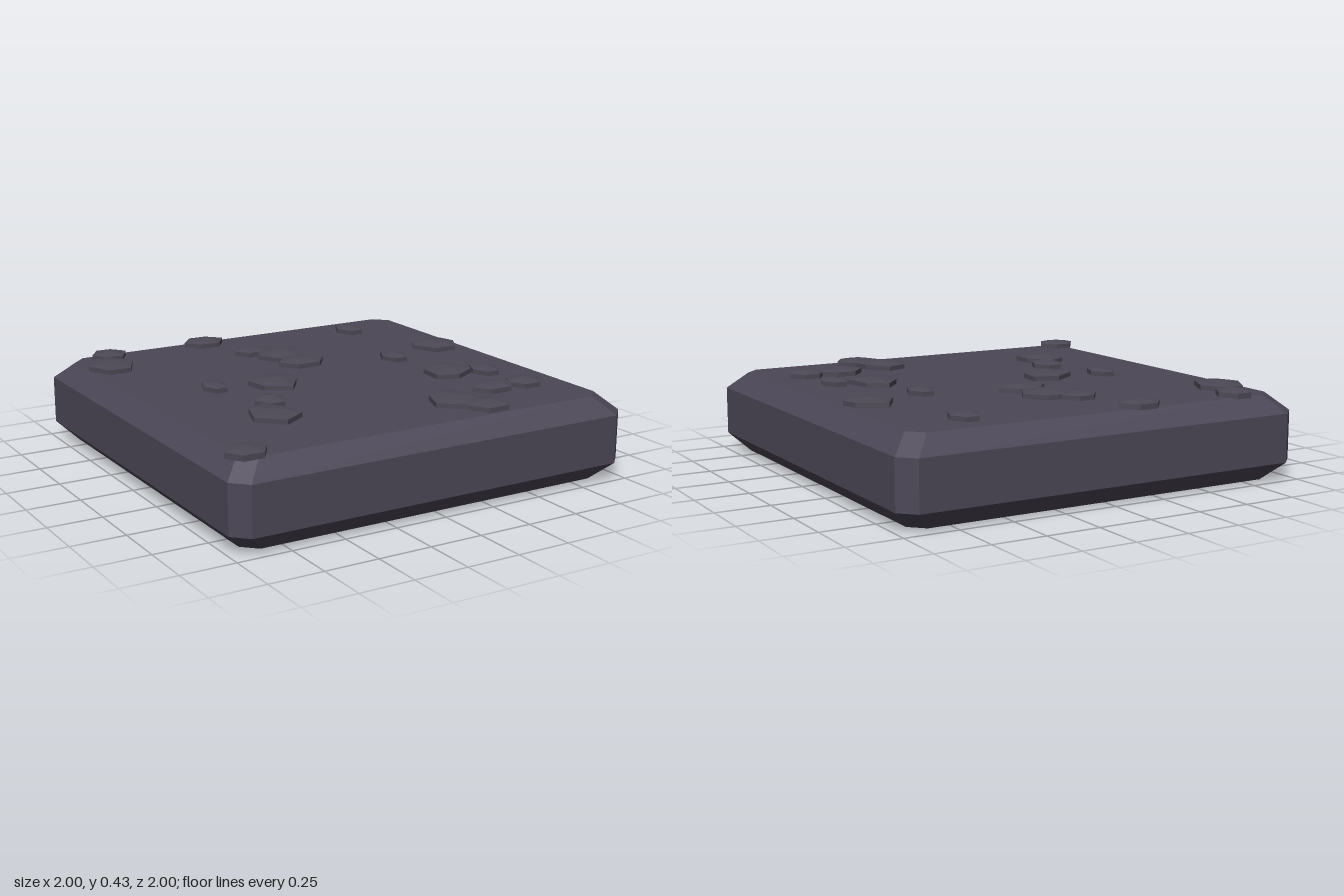
import * as THREE from 'three';

// Faceted solid through rings of [x, z] points, listed bottom to top.
// Rings run clockwise seen from above; scale 0 closes a ring to a point.
function loft(levels) {
  const pos = [];
  const ring = ({ y, scale = 1, points }) => points.map(([x, z]) => [x * scale, y, z * scale]);
  for (let k = 0; k < levels.length - 1; k++) {
    const lo = ring(levels[k]), hi = ring(levels[k + 1]);
    lo.forEach((a, i) => {
      const j = (i + 1) % lo.length;
      if (levels[k].scale !== 0) pos.push(...lo[j], ...a, ...hi[i]);
      if (levels[k + 1].scale !== 0) pos.push(...lo[j], ...hi[i], ...hi[j]);
    });
  }
  const geo = new THREE.BufferGeometry();
  geo.setAttribute('position', new THREE.Float32BufferAttribute(pos, 3));
  geo.computeVertexNormals();
  return geo;
}

// Square of half width h with its corners cut off by c
function cutSquare(h, c) {
  const k = h - c;
  return [[-k, -h], [k, -h], [h, -k], [h, k], [k, h], [-k, h], [-h, k], [-h, -k]];
}

// Stone outlines inside a -1..1 box
const OUTLINES = {
  hex: [[-0.4, -1], [0.4, -0.95], [1, -0.1], [0.45, 0.97], [-0.5, 0.95], [-1, 0]],
  kite: [[0.28, -1], [0.95, -0.2], [1, 0.5], [0, 1], [-1, 0.28], [-0.58, -0.68]],
  tall: [[-0.1, -1], [0.65, -0.5], [1, 0.5], [-0.1, 1], [-1, 0.7], [-0.9, -0.25]],
  lean: [[0, -1], [1, -0.75], [0.9, 0.15], [0.2, 1], [-0.8, 0.5], [-1, -0.4]],
  broad: [[-0.3, -1], [0.8, -0.45], [1, 0.2], [0.5, 1], [-0.5, 0.95], [-1, 0]],
};

// Stones by outline: centre x, centre z, half width, half depth
const STONES = {
  hex: [
    [-0.73, -0.86, 0.09, 0.08], [-0.805, -0.66, 0.115, 0.12],
    [-0.21, -0.86, 0.11, 0.08], [0.585, -0.735, 0.07, 0.085],
    [-0.09, -0.57, 0.09, 0.07], [0.005, -0.445, 0.125, 0.115],
    [0.025, -0.265, 0.125, 0.085], [0.465, -0.12, 0.065, 0.08],
    [-0.55, -0.065, 0.06, 0.08], [-0.445, 0.265, 0.075, 0.085],
    [0.695, 0.315, 0.065, 0.085], [0.545, 0.58, 0.115, 0.08],
    [0.72, 0.585, 0.09, 0.08], [0.35, 0.81, 0.11, 0.09],
    [-0.88, 0.86, 0.1, 0.08],
  ],
  kite: [[-0.54, 0.46, 0.11, 0.14], [0.26, 0.675, 0.12, 0.135]],
  tall: [[0.53, 0.225, 0.11, 0.135]],
  lean: [[-0.275, 0.01, 0.115, 0.13]],
  broad: [[0.775, -0.235, 0.115, 0.125]],
};

export function createModel() {
  const model = new THREE.Group();
  model.name = 'stoneFloorTile';
  const slabMat = new THREE.MeshStandardMaterial({ color: 0x4b4656 });
  slabMat.name = 'dark slate';
  const stoneMat = new THREE.MeshStandardMaterial({ color: 0x4b4754 });
  stoneMat.name = 'loose slate';

  // Slab with bevelled top, bottom and corners
  const wide = cutSquare(1, 0.07), narrow = cutSquare(0.915, 0.065);
  const slab = new THREE.Mesh(loft([
    { y: 0, scale: 0, points: narrow },
    { y: 0, points: narrow },
    { y: 0.085, points: wide },
    { y: 0.31, points: wide },
    { y: 0.39, points: narrow },
    { y: 0.39, scale: 0, points: narrow },
  ]), slabMat);
  slab.name = 'slab';
  model.add(slab);

  // Flat stones with a low peak scattered on top
  const stones = new THREE.Group();
  stones.name = 'stones';
  for (const [kind, list] of Object.entries(STONES)) {
    for (const [x, z, rx, rz] of list) {
      const points = OUTLINES[kind].map(([u, v]) => [u * rx, v * rz]);
      const stone = new THREE.Mesh(loft([
        { y: 0, scale: 0, points },
        { y: 0, points },
        { y: 0.026, points },
        { y: 0.034, scale: 0.6, points },
        { y: 0.041, scale: 0, points },
      ]), stoneMat);
      stone.name = 'stone';
      stone.position.set(x, 0.386, z);
      stones.add(stone);
    }
  }
  model.add(stones);
  return model;
}
